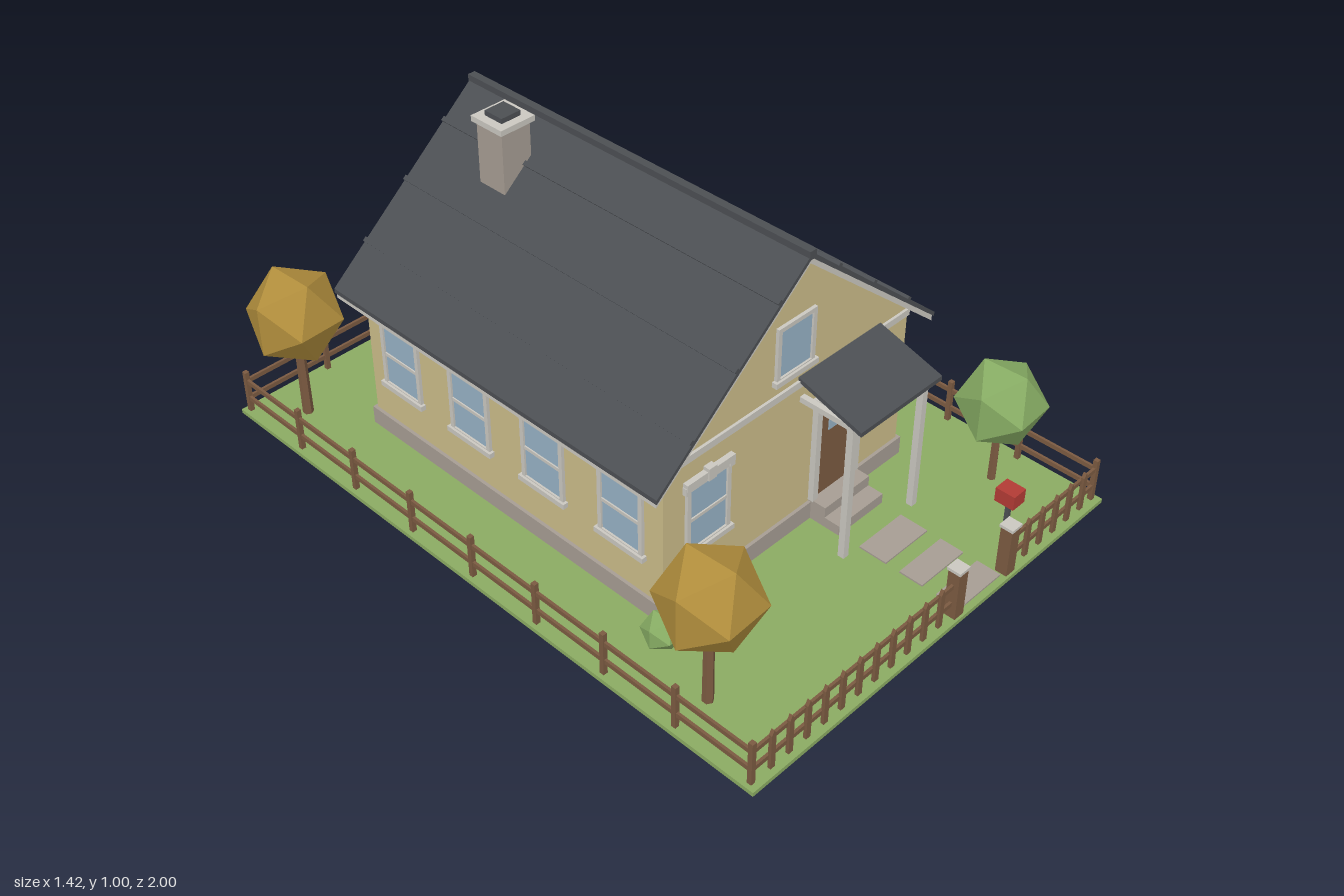
import * as THREE from 'three';

const paint = (name, color) => {
  const m = new THREE.MeshStandardMaterial({ color });
  m.name = name;
  return m;
};

export function createModel() {
  const model = new THREE.Group();
  model.name = 'cottage';
  const wall = paint('cream wall', 0xcbbc89), stone = paint('stone', 0xa69d93);
  const trim = paint('pale trim', 0xcac7c0), slate = paint('slate', 0x4c4f53);
  const glass = paint('glass', 0x96b1c4), wood = paint('brown wood', 0x7b5a41);
  const grass = paint('grass', 0x8bab62), amber = paint('amber leaves', 0xb08d3c);
  const leaf = paint('green leaves', 0x86ab63), red = paint('red', 0xb23b35);

  const add = (parent, name, geo, mat, x = 0, y = 0, z = 0) => {
    const m = new THREE.Mesh(geo, mat);
    m.name = name;
    m.position.set(x, y, z);
    parent.add(m);
    return m;
  };
  // Box given by its lower and upper corners
  const box = (parent, name, mat, x0, x1, y0, y1, z0, z1) =>
    add(parent, name, new THREE.BoxGeometry(x1 - x0, y1 - y0, z1 - z0), mat,
      (x0 + x1) / 2, (y0 + y1) / 2, (z0 + z1) / 2);
  // Outline in x and y drawn out from z0 to z1
  const prism = (parent, name, mat, pts, z0, z1) => {
    const shape = new THREE.Shape(pts.map(p => new THREE.Vector2(...p)));
    const geo = new THREE.ExtrudeGeometry(shape, { depth: z1 - z0, bevelEnabled: false });
    return add(parent, name, geo, mat, 0, 0, z0);
  };
  const group = (name) => {
    const g = new THREE.Group();
    g.name = name;
    model.add(g);
    return g;
  };

  // Lawn and stepping stones
  box(model, 'lawn', grass, -0.71, 0.71, 0, 0.013, -1, 1);
  for (const [a, b] of [[0.65, 0.74], [0.785, 0.86], [0.905, 0.98]])
    box(model, 'steppingStone', stone, 0.095, 0.27, 0.012, 0.018, a, b);

  // House body
  const slope = 0.845, apex = 0.938;
  box(model, 'foundation', stone, -0.475, 0.475, 0.012, 0.07, -0.68, 0.48);
  prism(model, 'walls', wall, [[-0.465, 0.07], [0.465, 0.07], [0.465, 0.515], [0, 0.908], [-0.465, 0.515]], -0.67, 0.47);
  box(model, 'frontBand', trim, -0.465, 0.465, 0.497, 0.518, 0.465, 0.478);
  box(model, 'backBand', trim, -0.465, 0.465, 0.497, 0.518, -0.678, -0.665);

  // Roof layers: an inverted V of given half width and vertical thickness
  const chevron = (name, mat, half, top, thick, z0, z1) => prism(model, name, mat, [
    [-half, top - slope * half - thick], [0, top - thick], [half, top - slope * half - thick],
    [half, top - slope * half], [0, top], [-half, top - slope * half]], z0, z1);
  chevron('roofSlate', slate, 0.53, apex, 0.014, -0.72, 0.512);
  chevron('roofTrim', trim, 0.527, apex - 0.014, 0.018, -0.715, 0.507);
  box(model, 'ridgeCap', slate, -0.012, 0.012, 0.922, 0.947, -0.723, 0.514);
  for (const s of [-1, 1]) for (const x of [0.11, 0.257, 0.41]) {
    const batten = add(model, 'roofBatten', new THREE.BoxGeometry(0.014, 0.012, 1.232), slate,
      s * x, apex - slope * x + 0.003, -0.104);
    batten.rotation.z = -s * Math.atan(slope);
  }

  // Chimney
  box(model, 'chimney', stone, -0.185, -0.087, 0.7, 0.97, -0.487, -0.389);
  box(model, 'chimneyCap', trim, -0.195, -0.077, 0.968, 0.985, -0.497, -0.379);
  box(model, 'chimneyFlue', slate, -0.169, -0.103, 0.98, 1.0, -0.471, -0.405);

  // Window facing +z, origin on the wall surface at mid height
  const makeWindow = (x, y, z, turn, w, h, full) => {
    const g = group('window'), f = 0.013;
    box(g, 'pane', glass, -w + f, w - f, -h + f, h - f, -0.003, 0.004);
    for (const s of [-1, 1]) {
      const sx = s * (w - f / 2), sy = s * (h - f / 2);
      box(g, 'frameSide', trim, sx - f / 2, sx + f / 2, -h, h, -0.003, 0.01);
      box(g, 'frameRail', trim, -w, w, sy - f / 2, sy + f / 2, -0.003, 0.01);
    }
    box(g, 'sill', trim, -w - 0.008, w + 0.008, -h - 0.006, -h + 0.01, -0.003, 0.017);
    if (full) {
      box(g, 'middleRail', trim, -w, w, -0.006, 0.004, -0.003, 0.008);
      box(g, 'header', trim, -w - 0.007, w + 0.007, h + 0.001, h + 0.022, -0.003, 0.016);
      box(g, 'keystone', trim, -0.014, 0.014, h - 0.005, h + 0.033, -0.003, 0.02);
      for (const s of [-1, 1])
        box(g, 'headerEar', trim, s * w - 0.009, s * w + 0.009, h - 0.014, h + 0.01, -0.003, 0.014);
    }
    g.position.set(x, y, z);
    g.rotation.y = turn;
  };
  makeWindow(0, 0.645, 0.47, 0, 0.072, 0.085, false);
  makeWindow(-0.31, 0.303, 0.47, 0, 0.079, 0.11, true);
  for (const x of [-0.31, 0, 0.31]) makeWindow(x, 0.303, -0.67, Math.PI, 0.079, 0.11, true);
  for (const s of [-1, 1]) for (const z of [0.326, 0.04, -0.246, -0.53])
    makeWindow(s * 0.465, 0.303, z, s * Math.PI / 2, 0.079, 0.11, true);

  // Door
  const door = group('door');
  box(door, 'doorLeaf', wood, 0.108, 0.26, 0.075, 0.402, 0.465, 0.478);
  box(door, 'doorPane', glass, 0.148, 0.22, 0.288, 0.36, 0.474, 0.481);
  box(door, 'doorJamb', trim, 0.09, 0.11, 0.075, 0.42, 0.465, 0.488);
  box(door, 'doorJamb', trim, 0.258, 0.278, 0.075, 0.42, 0.465, 0.488);
  box(door, 'doorLintel', trim, 0.09, 0.278, 0.402, 0.42, 0.465, 0.488);
  add(door, 'doorKnob', new THREE.SphereGeometry(0.007, 8, 6), slate, 0.235, 0.23, 0.483);
  box(model, 'topStep', stone, 0.092, 0.276, 0.012, 0.078, 0.47, 0.53);
  box(model, 'lowerStep', stone, 0.092, 0.276, 0.012, 0.045, 0.47, 0.58);

  // Porch
  const porch = group('porch');
  const porchRoof = prism(porch, 'porchRoof', slate,
    [[-0.47, 0.514], [-0.47, 0.528], [-0.68, 0.466], [-0.68, 0.452]].reverse(), 0.023, 0.349);
  porchRoof.rotation.y = Math.PI / 2;
  porchRoof.position.set(0.023, 0, 0);
  for (const x of [0.042, 0.33]) {
    box(porch, 'porchPost', trim, x - 0.01, x + 0.01, 0.012, 0.455, 0.628, 0.648);
    box(porch, 'sideBeam', trim, x - 0.009, x + 0.009, 0.442, 0.459, 0.468, 0.645);
  }
  box(porch, 'frontBeam', trim, 0.03, 0.342, 0.441, 0.459, 0.628, 0.648);

  // Fence: rails and posts on three sides, pickets at the front
  const fence = group('fence');
  const fencePost = (x, z) => box(fence, 'fencePost', wood, x - 0.007, x + 0.007, 0.012, 0.15, z - 0.007, z + 0.007);
  const rails = (x0, x1, z0, z1) => {
    for (const y of [0.058, 0.118]) box(fence, 'fenceRail', wood, x0, x1, y - 0.007, y + 0.007, z0, z1);
  };
  for (const s of [-1, 1]) {
    rails(s * 0.69 - 0.004, s * 0.69 + 0.004, -0.98, 0.975);
    for (let i = 0; i < 9; i++) fencePost(s * 0.69, -0.98 + i * 0.2444);
  }
  rails(-0.69, 0.69, -0.984, -0.976);
  for (let i = 1; i < 5; i++) fencePost(-0.69 + i * 0.276, -0.98);
  rails(-0.69, 0.07, 0.971, 0.979);
  rails(0.3, 0.69, 0.971, 0.979);
  const picket = (x) => prism(fence, 'picket', wood,
    [[x - 0.008, 0.02], [x + 0.008, 0.02], [x + 0.008, 0.132], [x, 0.148], [x - 0.008, 0.132]], 0.976, 0.986);
  for (let i = 1; i < 12; i++) picket(-0.69 + i * 0.0633);
  for (let i = 1; i < 6; i++) picket(0.69 - i * 0.0633);
  for (const x of [0.076, 0.296]) {
    box(fence, 'gatePost', wood, x - 0.018, x + 0.018, 0.012, 0.166, 0.957, 0.993);
    box(fence, 'gatePostCap', trim, x - 0.021, x + 0.021, 0.166, 0.175, 0.954, 0.996);
  }

  // Mailbox
  box(model, 'mailboxPost', slate, 0.373, 0.385, 0.012, 0.165, 0.904, 0.916);
  box(model, 'mailbox', red, 0.354, 0.404, 0.16, 0.204, 0.88, 0.94);

  // Trees and bush with faceted crowns
  const crown = (name, mat, x, y, z, r, tall) => {
    const c = add(model, name, new THREE.IcosahedronGeometry(r, 0), mat, x, y, z);
    c.rotation.y = Math.PI / 2 + 0.05;
    c.scale.y = tall;
  };
  const tree = (mat, x, y, z, r, tr) => {
    add(model, 'treeTrunk', new THREE.CylinderGeometry(tr * 0.85, tr, y - 0.01, 6).toNonIndexed(), wood, x, y / 2 + 0.005, z)
      .geometry.computeVertexNormals();
    crown('treeCrown', mat, x, y, z, r, 1.04);
  };
  tree(amber, -0.575, 0.355, 0.73, 0.143, 0.016);
  tree(amber, -0.58, 0.362, -0.855, 0.143, 0.016);
  tree(leaf, 0.57, 0.281, 0.73, 0.128, 0.013);
  crown('bush', leaf, -0.517, 0.06, 0.52, 0.059, 0.95);

  return model;
}
